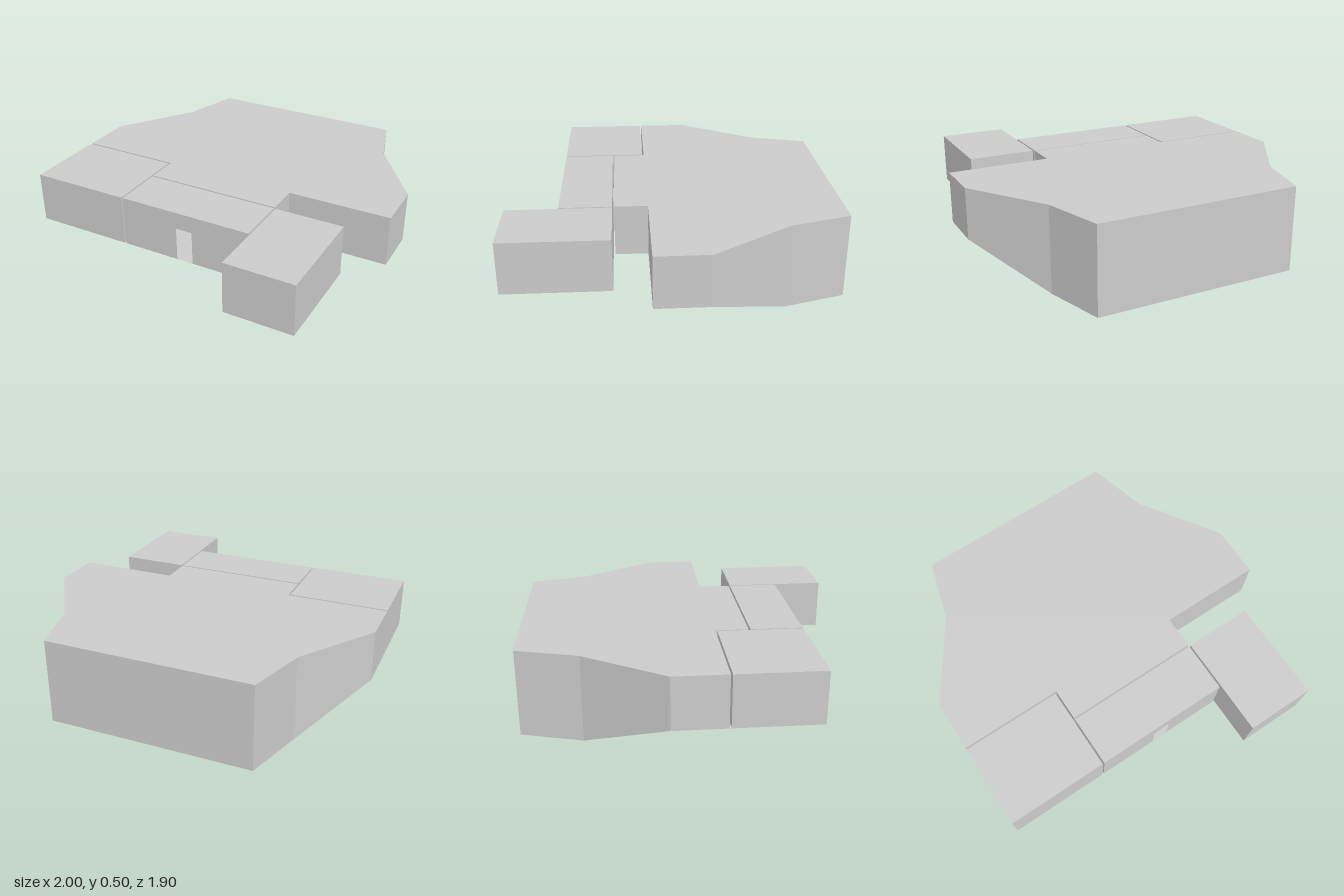
import * as THREE from 'three';

const ROOF = 0.5, FLOOR = 0.2, DOOR_TOP = 0.4;
const material = new THREE.MeshStandardMaterial({ color: 0xcccccc, flatShading: true, side: THREE.DoubleSide });

// Floor height along the depth: level, raked, then level on the ground
const floorAt = z => FLOOR * THREE.MathUtils.clamp((z + 0.6) / 0.45, 0, 1);

function addMesh(parent, name, geometry) {
  const mesh = new THREE.Mesh(geometry, material);
  mesh.name = name;
  parent.add(mesh);
  return mesh;
}

// Upright panel from plan point a to b, with an optional doorway [start, end]
function addWall(parent, a, b, door) {
  const dx = b[0] - a[0], dz = b[1] - a[1], length = Math.hypot(dx, dz);
  const shape = new THREE.Shape();
  shape.moveTo(0, floorAt(a[1]));
  if (door) {
    shape.lineTo(door[0], FLOOR);
    shape.lineTo(door[0], DOOR_TOP);
    shape.lineTo(door[1], DOOR_TOP);
    shape.lineTo(door[1], FLOOR);
  }
  shape.lineTo(length, floorAt(b[1]));
  shape.lineTo(length, ROOF);
  shape.lineTo(0, ROOF);
  const wall = addMesh(parent, 'wall', new THREE.ShapeGeometry(shape));
  wall.position.set(a[0], 0, a[1]);
  wall.rotation.y = Math.atan2(-dz, dx);
}

// Horizontal or raked panel over a plan outline
function addPanel(parent, name, outline, heightAt, up) {
  const shape = new THREE.Shape(outline.map(([x, z]) => new THREE.Vector2(x, up ? -z : z)));
  const geometry = new THREE.ShapeGeometry(shape).rotateX(up ? -Math.PI / 2 : Math.PI / 2);
  const p = geometry.attributes.position;
  for (let i = 0; i < p.count; i++) p.setY(i, heightAt(p.getZ(i)));
  geometry.computeVertexNormals();
  addMesh(parent, name, geometry);
}

// Hollow room: walls around the outline, roof, and one or more floor panels
function makeRoom(name, outline, doors, floors = [outline]) {
  const room = new THREE.Group();
  room.name = name;
  outline.forEach((a, i) => addWall(room, a, outline[(i + 1) % outline.length], doors[i]));
  addPanel(room, 'roof', outline, () => ROOF, true);
  floors.forEach(f => addPanel(room, 'floor', f, floorAt, false));
  return room;
}

// Outline of a rectangular room: front, +x side, back, -x side
const rect = (x0, x1, z0, z1) => [[x0, z1], [x1, z1], [x1, z0], [x0, z0]];

// Door lining (two sides and a head) bridging the gap between two rooms
function makePassage(x0, x1, z0, z1, alongX) {
  const passage = new THREE.Group();
  passage.name = 'passage';
  addPanel(passage, 'passageCeiling', rect(x0, x1, z0, z1), () => DOOR_TOP, true);
  for (const s of [0, 1]) {
    const side = addMesh(passage, 'passageSide',
      new THREE.PlaneGeometry(alongX ? x1 - x0 : z1 - z0, DOOR_TOP - FLOOR));
    const y = (FLOOR + DOOR_TOP) / 2;
    if (alongX) {
      side.position.set((x0 + x1) / 2, y, s ? z1 : z0);
      side.rotation.y = s ? 0 : Math.PI;
    } else {
      side.position.set(s ? x1 : x0, y, (z0 + z1) / 2);
      side.rotation.y = s ? Math.PI / 2 : -Math.PI / 2;
    }
  }
  return passage;
}

// Wedge-shaped box under the raked floor, with an upright front
function wedgeGeometry(zFront, yBottom) {
  const zBack = yBottom / FLOOR * 0.45 - 0.6;
  const profile = new THREE.Shape([
    new THREE.Vector2(-zFront, floorAt(zFront)),
    new THREE.Vector2(-zFront, yBottom),
    new THREE.Vector2(-zBack, yBottom),
  ]);
  return new THREE.ExtrudeGeometry(profile, { depth: 0.1, bevelEnabled: false })
    .translate(0, 0, -0.05).rotateY(Math.PI / 2);
}

export function createModel() {
  const model = new THREE.Group();
  model.name = 'building';

  // Main hall with a tapering back and a raked underside
  const hallOutline = [
    [-1, 0.15], [-0.4, 0.15], [-0.4, 0.34], [0.4, 0.34], [0.4, 0.15], [1, 0.15],
    [1, -0.15], [0.7, -0.6], [0.6, -0.95], [-0.6, -0.95], [-0.7, -0.6], [-1, -0.15],
  ];
  const pick = (...ids) => ids.map(i => hallOutline[i]);
  model.add(makeRoom('mainHall', hallOutline, { 0: [0.1, 0.2], 2: [0.3, 0.5] }, [
    pick(0, 1, 2, 3, 4, 5, 6, 11), pick(6, 7, 10, 11), pick(7, 8, 9, 10),
  ]));

  // Entrance room and its two neighbours
  model.add(makeRoom('entranceRoom', rect(-0.4, 0.4, 0.35, 0.65),
    { 0: [0.35, 0.45], 1: [0.1, 0.2], 2: [0.3, 0.5], 3: [0.1, 0.2] }));
  model.add(makeRoom('rightRoom', rect(-1, -0.41, 0.16, 0.65), { 1: [0.1, 0.2], 2: [0.39, 0.49] }));
  model.add(makeRoom('leftRoom', rect(0.41, 0.81, 0.35, 0.95), { 3: [0.1, 0.2] }));

  // Passages between the rooms
  model.add(makePassage(-0.1, 0.1, 0.34, 0.35, false));
  model.add(makePassage(-0.9, -0.8, 0.15, 0.16, false));
  model.add(makePassage(-0.41, -0.4, 0.45, 0.55, true));
  model.add(makePassage(0.4, 0.41, 0.45, 0.55, true));

  // Two staggered rows of boxes under the rake
  for (const [count, zFront, yBottom] of [[6, -0.25, 0.12], [7, -0.4, 0.05]]) {
    const geometry = wedgeGeometry(zFront, yBottom);
    for (let i = 0; i < count; i++) {
      addMesh(model, 'underfloorBox', geometry).position.x = (i - (count - 1) / 2) * 0.2;
    }
  }
  return model;
}
